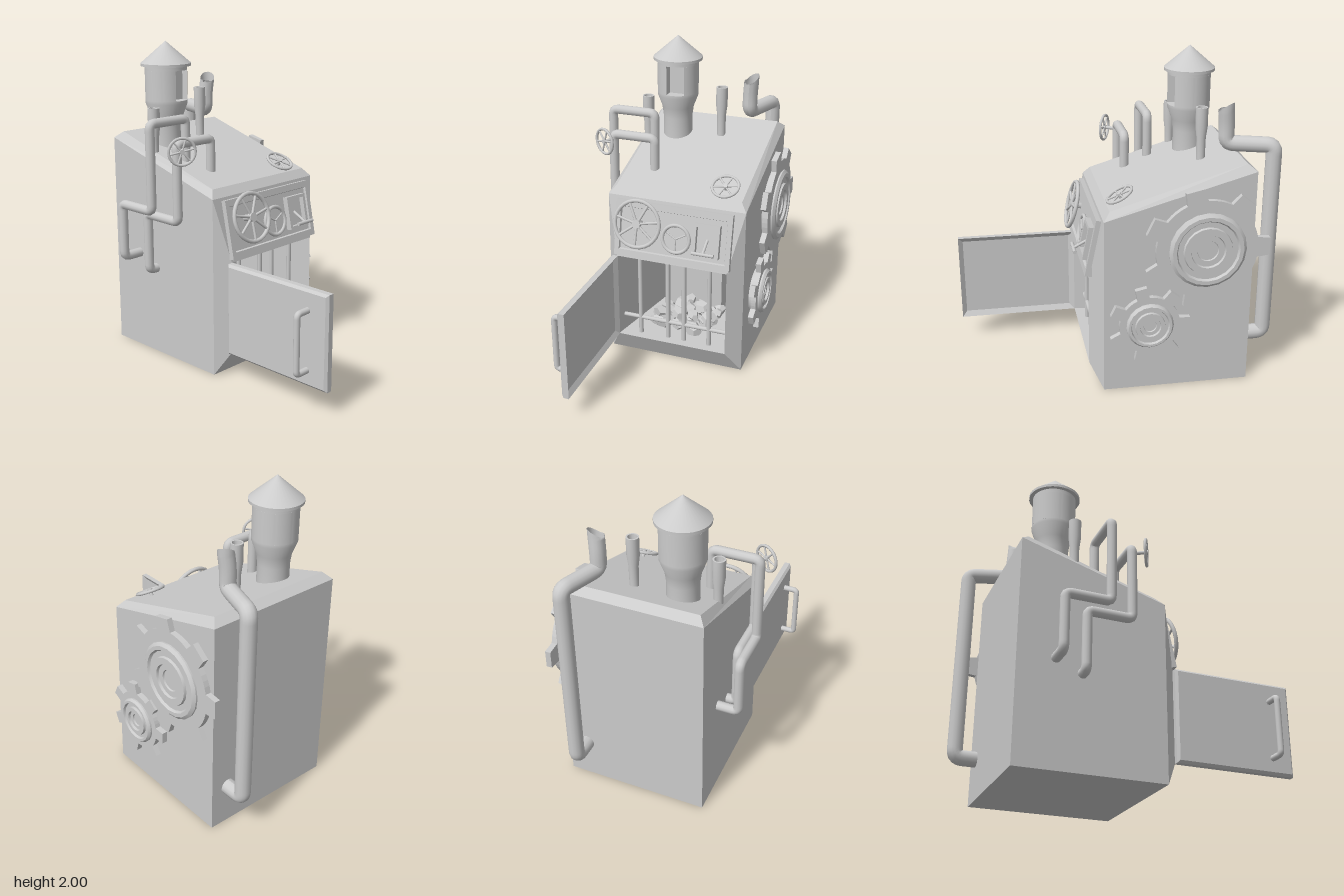
import * as THREE from 'three';
import { toCreasedNormals } from 'three/addons/utils/BufferGeometryUtils.js';

const mat = new THREE.MeshStandardMaterial({ color: 0xcccccc, side: THREE.DoubleSide });
const flat = new THREE.MeshStandardMaterial({ color: 0xcccccc, side: THREE.DoubleSide, flatShading: true });
const V = (x, y, z) => new THREE.Vector3(x, y, z);

function add(parent, name, geo, pos = [0, 0, 0], rot = [0, 0, 0], m = mat) {
  const mesh = new THREE.Mesh(geo, m);
  mesh.name = name;
  mesh.position.set(...pos);
  mesh.rotation.set(...rot);
  parent.add(mesh);
  return mesh;
}

function group(parent, name, pos = [0, 0, 0], rot = [0, 0, 0]) {
  const g = new THREE.Group();
  g.name = name;
  g.position.set(...pos);
  g.rotation.set(...rot);
  parent.add(g);
  return g;
}

// Faceted skin over a row of four-cornered rings, closed at both ends
function loft(rings) {
  const p = [];
  const quad = (a, b, c, d) => [a, b, c, a, c, d].forEach(v => p.push(...v));
  for (let k = 0; k < rings.length - 1; k++) {
    const a = rings[k], b = rings[k + 1];
    for (let i = 0; i < 4; i++) quad(a[i], a[(i + 1) % 4], b[(i + 1) % 4], b[i]);
  }
  quad(...[...rings[0]].reverse());
  quad(...rings[rings.length - 1]);
  const g = new THREE.BufferGeometry();
  g.setAttribute('position', new THREE.Float32BufferAttribute(p, 3));
  g.computeVertexNormals();
  return g;
}
const ringZ = (x0, x1, y0, y1, z) => [[x0, y0, z], [x1, y0, z], [x1, y1, z], [x0, y1, z]];
const ringX = (x, y0, y1, z0, z1) => [[x, y0, z0], [x, y1, z0], [x, y1, z1], [x, y0, z1]];

// Round pipe through points, corners cut by a short bend
function pipeGeo(pts, r, bend = 0.05, sides = 12) {
  const path = new THREE.CurvePath();
  let from = pts[0];
  for (let i = 1; i < pts.length - 1; i++) {
    const c = pts[i];
    const a = c.clone().add(pts[i - 1].clone().sub(c).setLength(bend));
    const b = c.clone().add(pts[i + 1].clone().sub(c).setLength(bend));
    path.add(new THREE.LineCurve3(from, a));
    path.add(new THREE.QuadraticBezierCurve3(a, c, b));
    from = b;
  }
  path.add(new THREE.LineCurve3(from, pts[pts.length - 1]));
  return new THREE.TubeGeometry(path, 120, r, sides);
}

function rod(parent, name, a, b, r) {
  const m = add(parent, name, new THREE.CylinderGeometry(r, r, a.distanceTo(b), 10));
  m.position.copy(a).add(b).multiplyScalar(0.5);
  m.quaternion.setFromUnitVectors(V(0, 1, 0), b.clone().sub(a).normalize());
}

// Spoked valve wheel facing +z with an axle behind
function valveWheel(parent, name, r, tube, spokes, axle, pos, rot) {
  const g = group(parent, name, pos, rot);
  add(g, 'rim', new THREE.TorusGeometry(r - tube, tube, 8, 28));
  add(g, 'hub', new THREE.CylinderGeometry(r * 0.17, r * 0.17, tube * 2.4, 14), [0, 0, 0], [Math.PI / 2, 0, 0]);
  for (let i = 0; i < spokes; i++) {
    const t = (i / spokes) * Math.PI * 2 + 0.2;
    rod(g, 'spoke', V(0, 0, 0), V(Math.cos(t) * (r - tube), Math.sin(t) * (r - tube), 0), tube * 0.65);
  }
  rod(g, 'axle', V(0, 0, 0), V(0, 0, -axle), r * 0.12);
}

// Toothed wheel on the model's left side, with a stepped hub
function gear(parent, name, y, z, root, tip, teeth, hub) {
  const g = group(parent, name, [0.49, y, z], [0, Math.PI / 2, 0]);
  const s = new THREE.Shape();
  const step = (Math.PI * 2) / teeth;
  for (let i = 0; i < teeth; i++) {
    [[-0.5, root], [-0.38, root], [-0.23, root], [-0.16, tip], [0.16, tip], [0.23, root], [0.38, root]].forEach(([o, r], k) => {
      const a = (i + o) * step;
      s[i + k ? 'lineTo' : 'moveTo'](Math.cos(a) * r, Math.sin(a) * r);
    });
  }
  s.closePath();
  add(g, 'toothedDisc', new THREE.ExtrudeGeometry(s, { depth: 0.035, bevelEnabled: false }), [0, 0, 0.025]);
  const prof = [[1, 0], [1, 0.07], [0.92, 0.085], [0.82, 0.085], [0.78, 0.07], [0.64, 0.07], [0.62, 0.085], [0.45, 0.085], [0.43, 0.07], [0.28, 0.07], [0.26, 0.055], [0, 0.055]];
  const lathe = new THREE.LatheGeometry(prof.map(([r, h]) => new THREE.Vector2(r * hub, h)), 20);
  add(g, 'hub', toCreasedNormals(lathe, 0.5), [0, 0, 0], [Math.PI / 2, 0, 0]);
}

export function createModel() {
  const root = new THREE.Group();
  root.name = 'steamFurnace';

  // Body with a tapered fire chamber sunk into its front
  add(root, 'body', loft([
    [[-0.41, 0, -0.79], [0.49, 0, -0.79], [0.49, 1.38, -0.79], [-0.41, 1.38, -0.79]],
    ringZ(-0.41, 0.49, 0, 1.12, 0.12),
    ringZ(-0.33, 0.4, 0.15, 0.73, 0.2),
    ringZ(-0.2, 0.26, 0.15, 0.62, -0.4),
  ]));
  add(root, 'bevelledTop', loft([
    [[-0.41, 1.12, 0.12], [0.49, 1.12, 0.12], [0.49, 1.38, -0.79], [-0.41, 1.38, -0.79]],
    [[-0.37, 1.17, 0.08], [0.45, 1.17, 0.08], [0.45, 1.42, -0.74], [-0.37, 1.42, -0.74]],
  ]));

  // Fire chamber: burner block, grate and coals
  const fire = group(root, 'fireChamber');
  add(fire, 'burnerBlock', new THREE.BoxGeometry(0.41, 0.38, 0.12), [0.025, 0.34, -0.33]);
  [-0.09, 0.05, 0.18].forEach(x => add(fire, 'burner', new THREE.CylinderGeometry(0.05, 0.05, 0.08, 16), [x, 0.56, -0.31]));
  [-0.2, -0.01, 0.1, 0.27].forEach(x => rod(fire, 'grateBar', V(x, 0.15, 0.13), V(x, 0.71, 0.13), 0.015));
  rod(fire, 'grateCrossbar', V(-0.315, 0.265, 0.13), V(0.385, 0.265, 0.13), 0.014);
  let seed = 7;
  const rnd = () => (seed = (seed * 16807) % 2147483647) / 2147483647;
  for (let i = 0; i < 34; i++) {
    const x = -0.13 + rnd() * 0.4, z = -0.22 + rnd() * 0.27;
    const y = 0.18 + rnd() * 0.12 * (1 - Math.abs(x - 0.08) * 2);
    const coal = add(fire, 'coal', new THREE.DodecahedronGeometry(0.035 + rnd() * 0.025, 0), [x, y, z], [rnd() * 6, rnd() * 6, 0], flat);
    coal.scale.set(1.2, 0.75, 0.9);
  }

  // Open door with a recessed inner face and a bar handle
  const door = group(root, 'door');
  add(door, 'doorLeaf', loft([
    ringX(-0.375, 0.165, 0.715, 0.215, 0.955), ringX(-0.36, 0.15, 0.73, 0.2, 0.97),
    ringX(-0.325, 0.15, 0.73, 0.2, 0.97), ringX(-0.345, 0.185, 0.7, 0.235, 0.94),
  ]));
  add(door, 'doorHandle', pipeGeo([V(-0.36, 0.25, 0.83), V(-0.465, 0.25, 0.83), V(-0.465, 0.61, 0.83), V(-0.36, 0.61, 0.83)], 0.019, 0.025));

  // Sloping control panel
  const panel = group(root, 'controlPanel', [0.04, 0.925, 0.16], [-0.2, 0, 0]);
  add(panel, 'panelPlate', loft([
    ringZ(-0.38, 0.38, -0.18, 0.18, -0.02), ringZ(-0.38, 0.38, -0.18, 0.18, 0.03),
    ringZ(-0.35, 0.35, -0.14, 0.14, 0.03), ringZ(-0.345, 0.345, -0.135, 0.135, 0.015),
  ]));
  valveWheel(panel, 'panelWheel', 0.16, 0.013, 7, 0.07, [-0.22, 0.05, 0.075], [-0.06, 0, 0]);
  const gauge = group(panel, 'gauge', [0.025, -0.02, 0.02]);
  add(gauge, 'gaugeFace', new THREE.CylinderGeometry(0.09, 0.09, 0.02, 28), [0, 0, 0], [Math.PI / 2, 0, 0]);
  add(gauge, 'gaugeRim', new THREE.TorusGeometry(0.088, 0.012, 8, 28), [0, 0, 0.01]);
  [0.5, 2.6, 4.7].forEach(t => rod(gauge, 'needle', V(0, 0, 0.012), V(Math.cos(t) * 0.075, Math.sin(t) * 0.075, 0.012), 0.005));
  const lever = group(panel, 'leverSwitch', [0.225, 0, 0.015]);
  add(lever, 'switchFrame', loft([
    ringZ(-0.085, 0.085, -0.105, 0.105, 0), ringZ(-0.085, 0.085, -0.105, 0.105, 0.035),
    ringZ(-0.065, 0.065, -0.085, 0.085, 0.035), ringZ(-0.065, 0.065, -0.085, 0.085, 0.004),
  ]));
  rod(lever, 'leverArm', V(0, 0, 0), V(0, -0.07, 0.085), 0.009);
  rod(lever, 'leverGrip', V(-0.07, -0.07, 0.085), V(0.07, -0.07, 0.085), 0.011);

  // Chimney with a notched lookout and conical cap
  const chimney = group(root, 'chimney', [-0.18, 0, -0.53]);
  const turn = (pts, n = 32) => toCreasedNormals(new THREE.LatheGeometry(pts.map(p => new THREE.Vector2(...p)), n), 0.5);
  add(chimney, 'stack', turn([[0.098, 1.28], [0.095, 1.46], [0.105, 1.53], [0.135, 1.61], [0.135, 1.63], [0, 1.63]]));
  const notch = new THREE.Shape();
  notch.absarc(0, 0, 0.135, -Math.PI / 2 + 0.634, Math.PI * 1.5 - 0.26, false);
  notch.lineTo(-0.035, -0.065);
  notch.lineTo(0.08, -0.065);
  notch.closePath();
  const drum = new THREE.ExtrudeGeometry(notch, { depth: 0.19, bevelEnabled: false, curveSegments: 32 }).rotateX(-Math.PI / 2);
  add(chimney, 'notchedDrum', toCreasedNormals(drum, 0.5), [0, 1.63, 0]);
  add(chimney, 'cap', turn([[0, 1.82], [0.135, 1.82], [0.135, 1.845], [0.16, 1.845], [0.16, 1.862], [0, 2]]));

  // Slim flared stacks
  [[0.12, 1.68, -0.54], [-0.36, 1.6, -0.45]].forEach(([x, y, z]) =>
    add(root, 'smallStack', turn([[0.027, -0.34], [0.029, -0.19], [0.038, -0.12], [0.038, 0], [0.028, 0], [0.026, -0.04], [0, -0.04]], 16), [x, y, z]));

  // Two side pipes that step backwards on their way down
  [[-0.19, -0.12, -0.47, 1.43, 0.95, -0.4, 0.58], [-0.25, -0.28, -0.54, 1.54, 1, -0.56, 0.65]].forEach(([x, z, out, top, mid, zb, low]) =>
    add(root, 'sidePipe', pipeGeo([V(x, 1.2, z), V(x, top, z), V(out, top, z), V(out, mid, z), V(out, mid, zb), V(out, low, zb), V(-0.38, low, zb)], 0.03, 0.035)));

  // Rear exhaust pipe with a slanted mouth
  const exhaust = pipeGeo([V(0.37, 0.26, -0.75), V(0.37, 0.26, -0.92), V(0.37, 1.5, -0.92), V(0.28, 1.5, -0.65), V(0.28, 1.61, -0.65), V(0.29, 1.72, -0.64)], 0.048, 0.045, 14);
  const p = exhaust.attributes.position;
  for (let i = p.count - 15; i < p.count; i++) p.setY(i, p.getY(i) + (p.getX(i) - 0.29) * 0.6 - (p.getZ(i) + 0.64) * 0.4);
  exhaust.computeVertexNormals();
  add(root, 'exhaustPipe', exhaust);

  // Valve wheels on the roof and the side pipe
  valveWheel(root, 'roofWheel', 0.092, 0.009, 6, 0.06, [0.32, 1.225, 0], [-Math.PI / 2 + 0.5, 0, 0]);
  valveWheel(root, 'pipeWheel', 0.09, 0.009, 6, 0.08, [-0.5, 1.4, -0.04], [0, -0.5, 0]);

  // Meshing gears
  gear(root, 'largeGear', 0.93, -0.49, 0.31, 0.385, 7, 0.235);
  gear(root, 'smallGear', 0.46, -0.15, 0.185, 0.25, 7, 0.145);
  return root;
}
